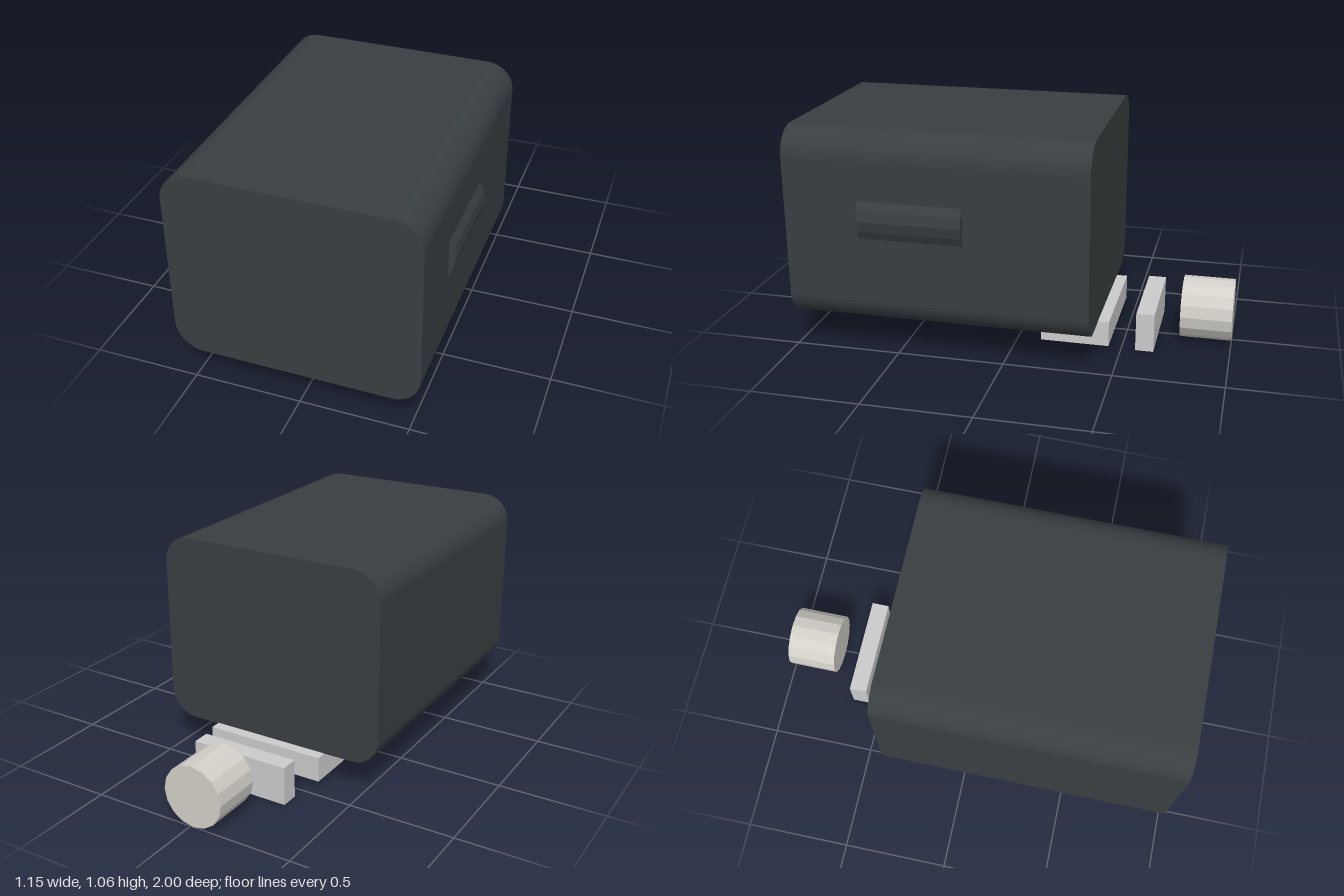
import * as THREE from 'three';

export function createModel() {
  const group = new THREE.Group();
  const dark = new THREE.MeshStandardMaterial({ color: 0x393e41, flatShading: true });
  const grey = new THREE.MeshStandardMaterial({ color: 0xcccccc, flatShading: true });
  const warm = new THREE.MeshStandardMaterial({ color: 0xd3d0c9, flatShading: true });

  const add = (name, geometry, material) => {
    const mesh = new THREE.Mesh(geometry, material);
    mesh.name = name;
    group.add(mesh);
    return mesh;
  };

  // Extrude a cross-section in x, y between two depths
  const slab = (shape, z0, z1) => new THREE.ExtrudeGeometry(shape, {
    depth: z1 - z0, bevelEnabled: false, curveSegments: 6,
  }).translate(0, 0, z0);

  // Box from its limits
  const block = (x0, x1, y0, y1, z0, z1) => new THREE.BoxGeometry(x1 - x0, y1 - y0, z1 - z0)
    .translate((x0 + x1) / 2, (y0 + y1) / 2, (z0 + z1) / 2);

  // Main housing: rounded rectangle, very slightly tilted
  const w = 0.56, h = 0.452, r = 0.13, q = Math.PI / 2;
  const outline = new THREE.Shape();
  outline.absarc(w - r, h - r, r, 0, q);
  outline.absarc(r - w, h - r, r, q, 2 * q);
  outline.absarc(r - w, r - h, r, 2 * q, 3 * q);
  outline.absarc(w - r, r - h, r, 3 * q, 4 * q);
  const housing = slab(outline, -0.397, 1);
  housing.rotateZ(-0.004).translate(-0.015, 0.606, 0);
  add('housing', housing, dark);

  // Low curved bump on the side
  const bump = new THREE.Shape([
    [0.52, 0.572], [0.547, 0.572], [0.565, 0.61], [0.577, 0.66], [0.568, 0.71], [0.547, 0.747], [0.52, 0.747],
  ].map(([x, y]) => new THREE.Vector2(x, y)));
  add('sideBump', slab(bump, 0.167, 0.647), dark);

  // Mounting blocks under and behind the housing
  add('mountPlate', block(-0.308, 0.28, 0.036, 0.156, -0.449, -0.128), grey);
  add('rearPlate', block(-0.255, 0.226, 0.003, 0.188, -0.652, -0.567), grey);

  // Round knob at the back
  const knob = new THREE.CylinderGeometry(0.147, 0.147, 0.24, 16);
  knob.rotateX(Math.PI / 2).translate(-0.017, 0.147, -0.88);
  add('knob', knob, warm);

  return group;
}
